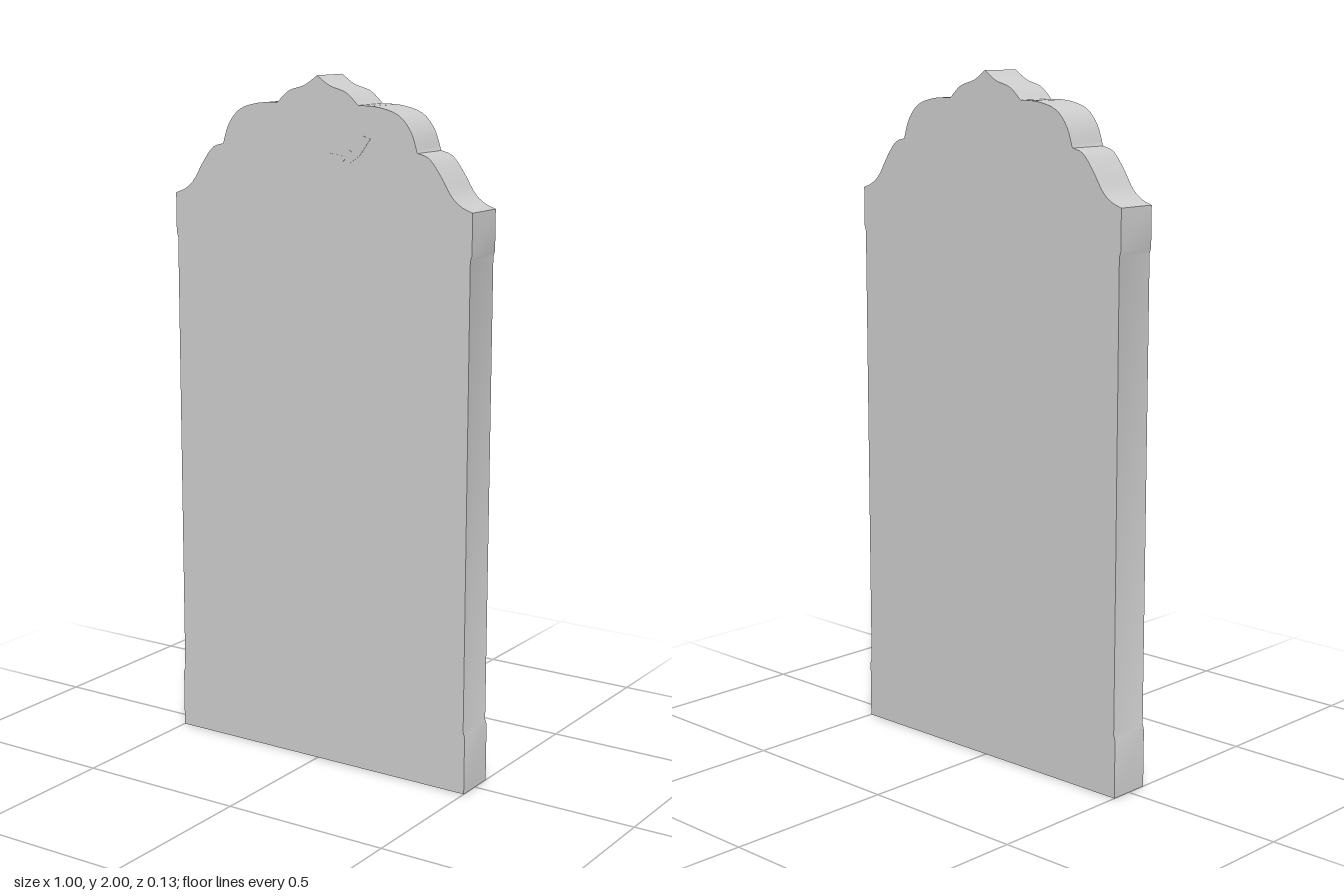
import * as THREE from 'three';
import { toCreasedNormals } from 'three/addons/utils/BufferGeometryUtils.js';

const DEPTH = 0.126;

const points = (list) => list.map(([x, y]) => new THREE.Vector2(x, y));
const smooth = (list) => new THREE.SplineCurve(points(list)).getPoints(16);

export function createModel() {
  const group = new THREE.Group();
  group.name = 'headstone';
  const stone = new THREE.MeshStandardMaterial({ color: 0xcccccc });
  stone.name = 'grey stone';

  // Right half of the outline: slightly waisted side, then three scallops to the peak
  const half = [
    ...points([[0.5, 0], [0.5, 0.17], [0.495, 0.185], [0.495, 1.52], [0.5, 1.535]]),
    ...smooth([[0.5, 1.65], [0.465, 1.664], [0.434, 1.69], [0.4, 1.743], [0.364, 1.787], [0.327, 1.8]]),
    ...smooth([[0.325, 1.803], [0.305, 1.857], [0.265, 1.9], [0.2, 1.919], [0.136, 1.922]]),
    ...smooth([[0.133, 1.924], [0.095, 1.956], [0.042, 1.973], [0, 2]]),
  ];
  const mirrored = half.slice(0, -1).reverse().map((p) => new THREE.Vector2(-p.x, p.y));

  const slabGeometry = new THREE.ExtrudeGeometry(new THREE.Shape([...half, ...mirrored]), {
    depth: DEPTH, bevelEnabled: false,
  });
  slabGeometry.translate(0, 0, -DEPTH / 2);
  const slab = new THREE.Mesh(toCreasedNormals(slabGeometry, 0.45), stone);
  slab.name = 'slab';
  group.add(slab);

  // Small jagged mark on the upper front face
  const mark = new THREE.Shape(points([
    [0.021, 1.77], [0.075, 1.758], [0.097, 1.776], [0.112, 1.765], [0.142, 1.786], [0.176, 1.832],
    [0.152, 1.84], [0.143, 1.812], [0.12, 1.79], [0.108, 1.8], [0.09, 1.782], [0.04, 1.789],
  ]));
  const chip = new THREE.Mesh(
    new THREE.ExtrudeGeometry(mark, { depth: 0.002, bevelEnabled: false }), stone);
  chip.name = 'surfaceMark';
  chip.position.z = DEPTH / 2 - 0.001;
  group.add(chip);

  return group;
}
